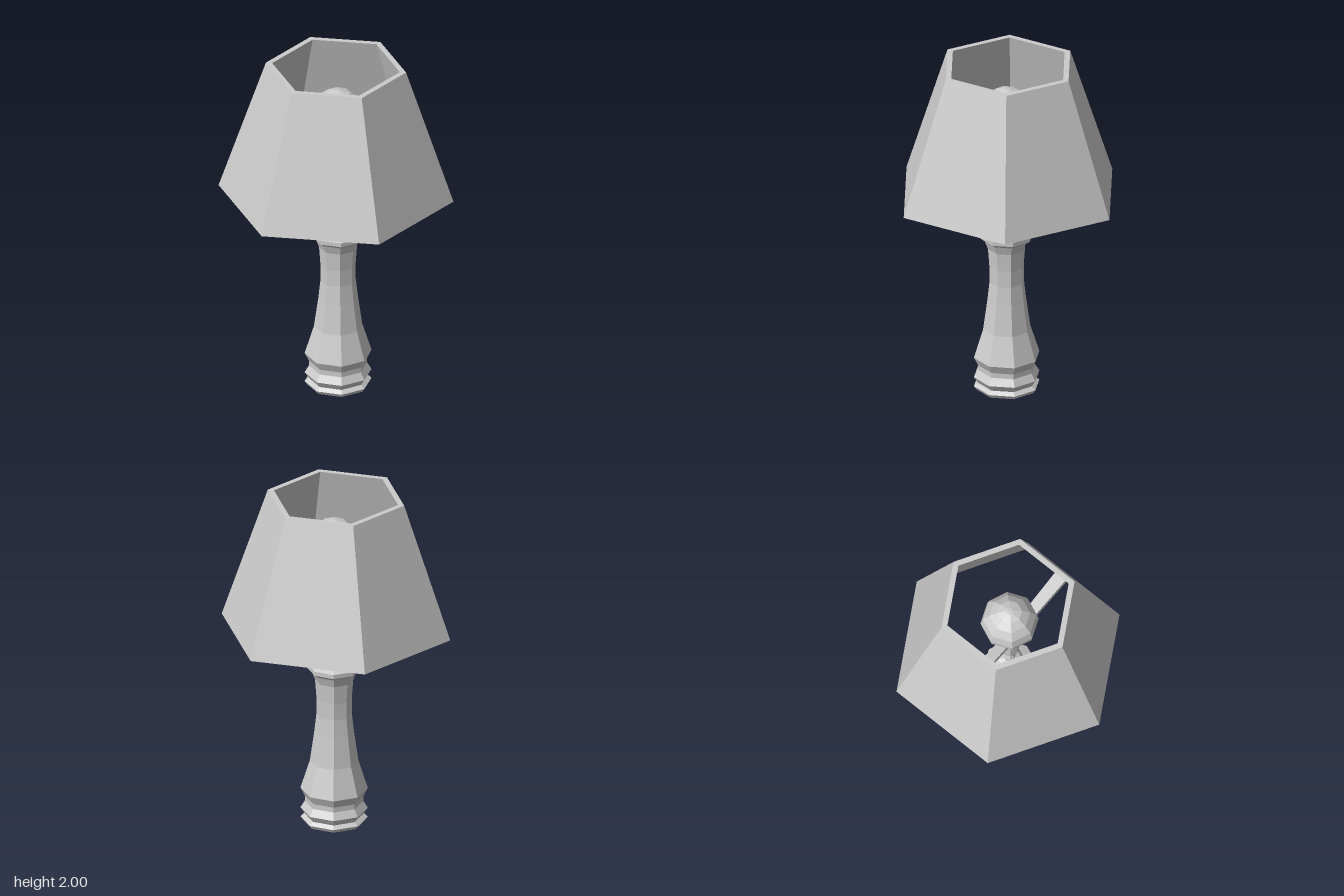
import * as THREE from 'three';

const material = new THREE.MeshStandardMaterial({ color: 0xcccccc, flatShading: true });
const AXIS = 0.015; // the stand sits slightly off the shade's centre

// Faceted turned part from [radius, height] pairs, listed bottom to top
function turned(name, profile, sides) {
  const points = profile.map(([r, y]) => new THREE.Vector2(r, y));
  const mesh = new THREE.Mesh(new THREE.LatheGeometry(points, sides), material);
  mesh.name = name;
  return mesh;
}

// Flat bar from socket to shade, widening and rising outwards
function supportArm(side) {
  const inner = 0.03, outer = 0.482;
  const geometry = new THREE.BoxGeometry(1, 0.04, 1);
  const p = geometry.attributes.position;
  for (let i = 0; i < p.count; i++) {
    const t = p.getX(i) + 0.5;
    p.setXYZ(i,
      THREE.MathUtils.lerp(inner, outer, t),
      p.getY(i) + THREE.MathUtils.lerp(1.415, 1.475, t),
      p.getZ(i) * THREE.MathUtils.lerp(0.056, 0.078, t));
  }
  geometry.computeVertexNormals();
  const mesh = new THREE.Mesh(geometry, material);
  mesh.name = side > 0 ? 'leftSupportArm' : 'rightSupportArm';
  if (side < 0) mesh.rotation.y = Math.PI;
  return mesh;
}

export function createModel() {
  const lamp = new THREE.Group();
  lamp.name = 'tableLamp';

  // Eight-sided stand
  const stand = new THREE.Group();
  stand.name = 'stand';
  stand.position.x = AXIS;
  stand.add(
    turned('body', [
      [0, 0], [0.175, 0], [0.19, 0.022], [0.165, 0.04], [0.19, 0.078],
      [0.165, 0.12], [0.165, 0.15], [0.19, 0.2], [0.137, 0.37], [0.112, 0.55],
      [0.1, 0.66], [0.1, 0.76], [0.108, 0.87], [0.127, 0.92], [0.152, 0.94],
      [0.152, 0.965], [0.085, 0.993], [0, 0.993],
    ], 8),
    turned('cap', [
      [0.085, 0.99], [0.085, 1.055], [0.066, 1.08], [0.03, 1.095], [0, 1.095],
    ], 8),
    turned('neck', [
      [0.018, 1.09], [0.02, 1.105], [0.033, 1.125], [0.033, 1.15], [0.02, 1.18],
      [0.028, 1.195], [0.028, 1.21], [0.022, 1.22],
    ], 8),
    turned('socket', [
      [0, 1.215], [0.03, 1.215], [0.052, 1.25], [0.052, 1.41], [0.073, 1.45],
      [0.073, 1.475], [0, 1.475],
    ], 8),
    turned('bulb', [
      [0.055, 1.47], [0.075, 1.53], [0.125, 1.6], [0.16, 1.66], [0.165, 1.7],
      [0.152, 1.76], [0.115, 1.81], [0.07, 1.845], [0.022, 1.86], [0, 1.862],
    ], 8),
  );
  lamp.add(stand);

  // Bars that hold the shade
  for (const side of [1, -1]) lamp.add(supportArm(side));

  // Six-sided shade with a solid wall
  lamp.add(turned('shade', [
    [0.635, 1.2], [0.67, 1.2], [0.4, 2], [0.364, 2], [0.635, 1.2],
  ], 6));

  return lamp;
}
